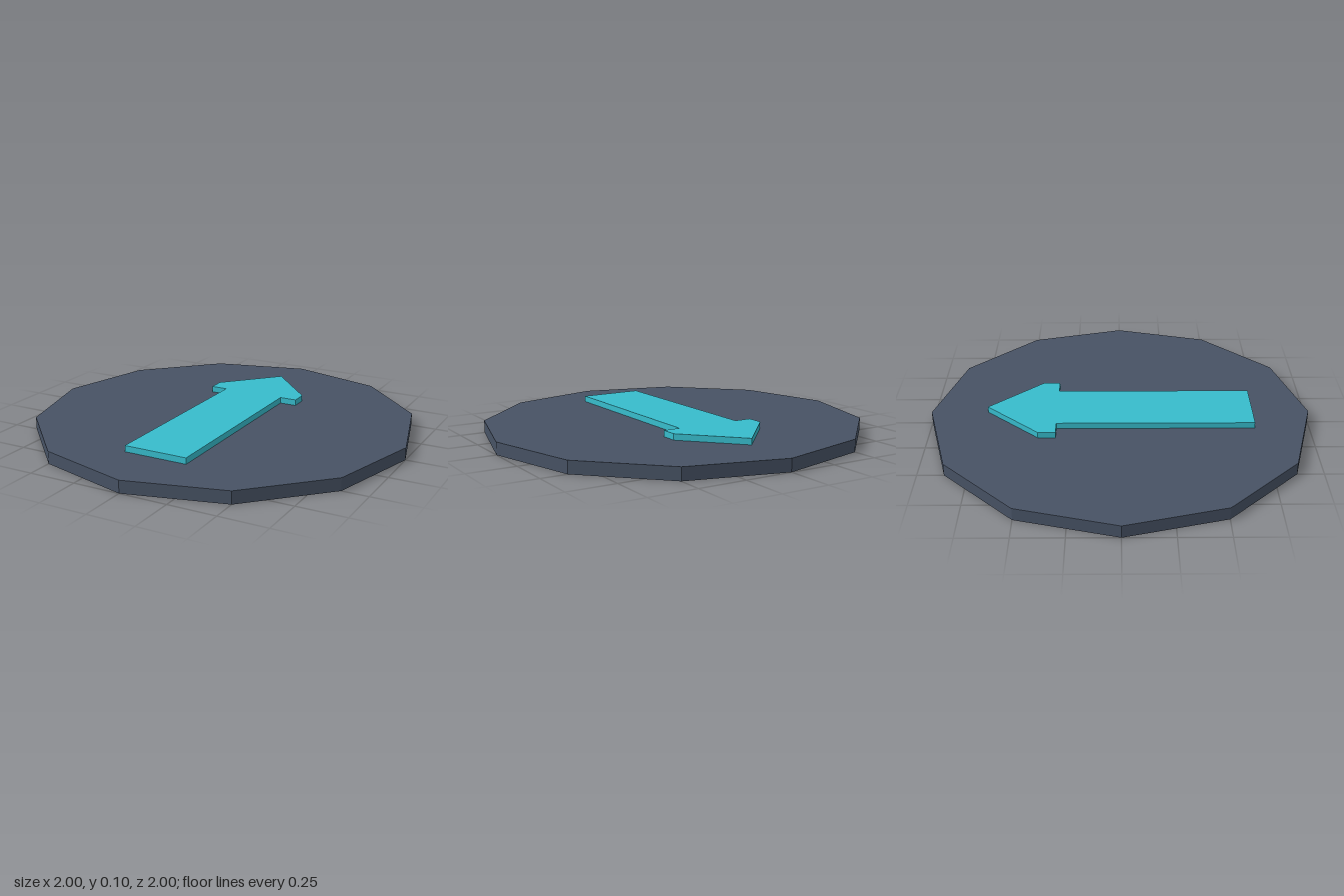
import * as THREE from 'three';

export function createModel() {
  const group = new THREE.Group();
  const slate = new THREE.MeshStandardMaterial({ color: 0x475264 });
  slate.name = 'slate';
  slate.flatShading = true;
  const cyan = new THREE.MeshStandardMaterial({ color: 0x37bccc });
  cyan.name = 'cyan';
  cyan.flatShading = true;

  // Twelve-sided base plate
  const baseHeight = 0.065;
  const base = new THREE.Mesh(new THREE.CylinderGeometry(1, 1, baseHeight, 12), slate);
  base.name = 'basePlate';
  base.position.y = baseHeight / 2;
  group.add(base);

  // Raised arrow pointing to the back: right half outline, mirrored for the left
  const half = [[0.17, -0.695], [0.17, 0.33], [0.26, 0.33], [0.26, 0.42]];
  const outline = [
    ...half,
    [0, 0.7],
    ...half.map(([x, y]) => [-x, y]).reverse(),
  ].map(([x, y]) => new THREE.Vector2(x, y));
  const arrowGeometry = new THREE.ExtrudeGeometry(new THREE.Shape(outline), {
    depth: 0.032,
    bevelEnabled: false,
  });
  arrowGeometry.rotateX(-Math.PI / 2);
  const arrow = new THREE.Mesh(arrowGeometry, cyan);
  arrow.name = 'arrow';
  arrow.position.y = baseHeight;
  group.add(arrow);

  return group;
}
